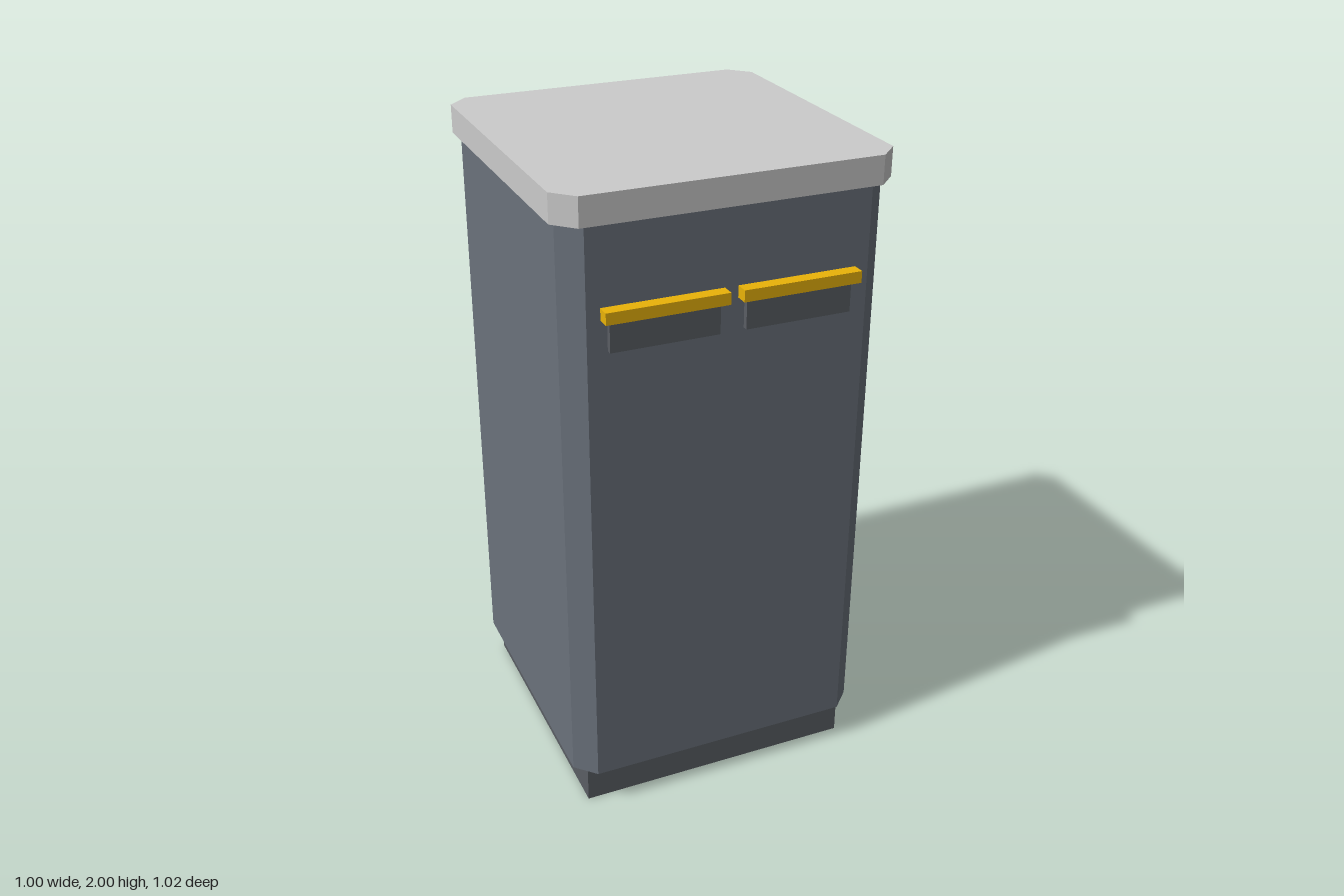
import * as THREE from 'three';

const mat = (color) => new THREE.MeshStandardMaterial({ color, flatShading: true });

// Upright prism with a square footprint and chamfered corners
function chamferedPrism(half, cut, y0, y1) {
  const k = half - cut;
  const outline = [
    [k, -half], [half, -k], [half, k], [k, half],
    [-k, half], [-half, k], [-half, -k], [-k, -half],
  ].map(([x, y]) => new THREE.Vector2(x, y));
  const geo = new THREE.ExtrudeGeometry(new THREE.Shape(outline), { depth: y1 - y0, bevelEnabled: false });
  return geo.rotateX(-Math.PI / 2).translate(0, y0, 0);
}

// Box given by its lower and upper limits
function boxBetween([x0, y0, z0], [x1, y1, z1]) {
  return new THREE.BoxGeometry(x1 - x0, y1 - y0, z1 - z0)
    .translate((x0 + x1) / 2, (y0 + y1) / 2, (z0 + z1) / 2);
}

export function createModel() {
  const model = new THREE.Group();
  model.name = 'cabinet';
  const bodyMat = mat(0x6b727c);
  const darkMat = mat(0x5a5e64);
  const lidMat = mat(0xcccccc);
  const yellowMat = mat(0xeab308);

  const add = (name, geometry, material, z = 0) => {
    const mesh = new THREE.Mesh(geometry, material);
    mesh.name = name;
    mesh.position.z = z;
    model.add(mesh);
  };

  // Cabinet stack, set slightly back so the hoods stay within the depth
  const back = -0.01;
  add('plinth', boxBetween([-0.44, 0, -0.44], [0.44, 0.125, 0.44]), darkMat, back);
  add('body', chamferedPrism(0.48, 0.06, 0.125, 1.915), bodyMat, back);
  add('lid', chamferedPrism(0.5, 0.06, 1.915, 2), lidMat, back);

  // Two slot panels, each under a yellow hood
  for (const [side, cx] of [['left', 0.2], ['right', -0.2]]) {
    add(side + 'Slot', boxBetween([cx - 0.161, 1.555, 0.45], [cx + 0.161, 1.65, 0.487]), darkMat);
    add(side + 'Hood', boxBetween([cx - 0.18, 1.647, 0.46], [cx + 0.18, 1.682, 0.51]), yellowMat);
  }
  return model;
}
